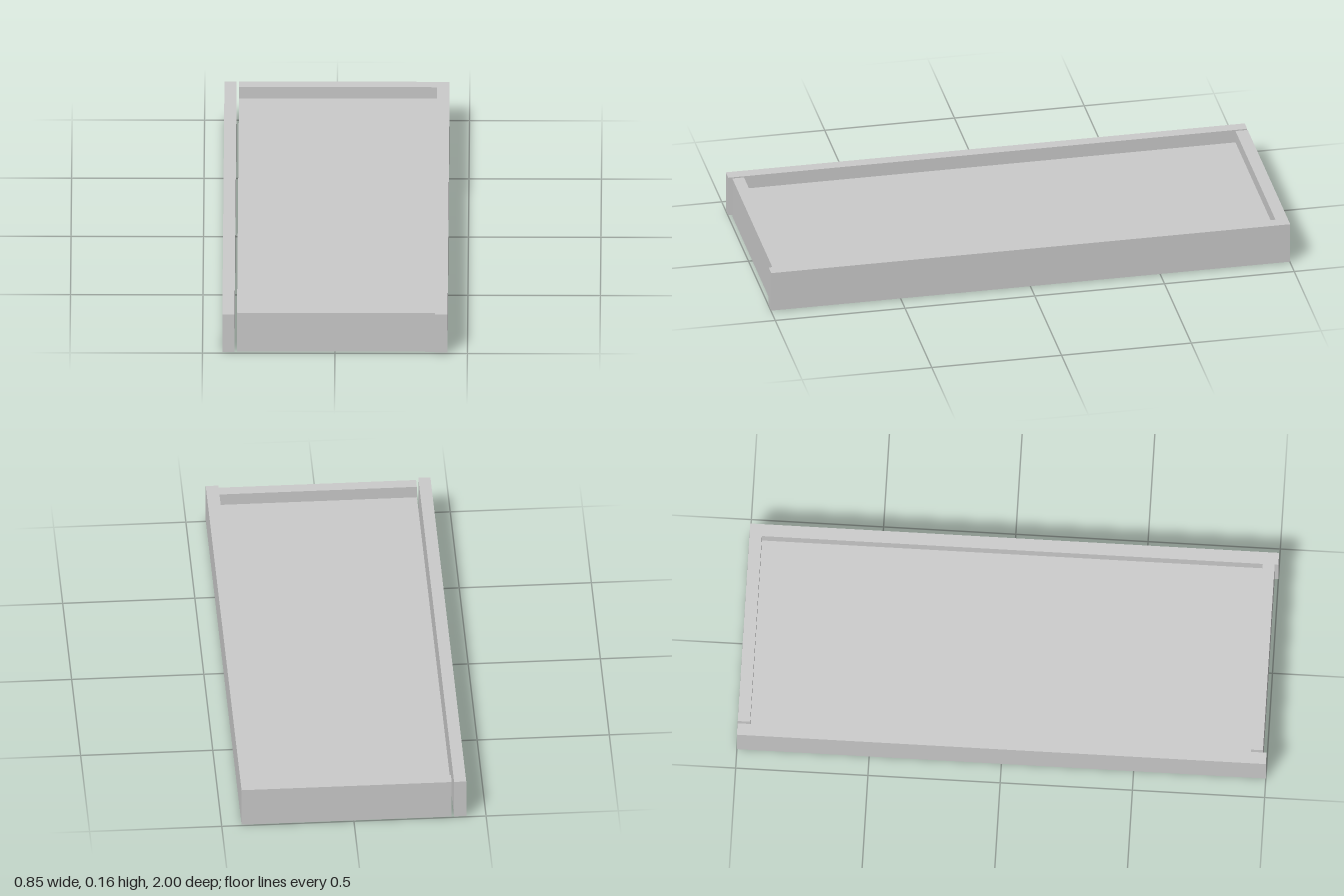
import * as THREE from 'three';

export function createModel() {
  const group = new THREE.Group();
  const material = new THREE.MeshStandardMaterial({ color: 0xcccccc, flatShading: true });

  // Box given by its lower and upper corners
  const addBox = (name, [x0, y0, z0], [x1, y1, z1]) => {
    const mesh = new THREE.Mesh(new THREE.BoxGeometry(x1 - x0, y1 - y0, z1 - z0), material);
    mesh.position.set((x0 + x1) / 2, (y0 + y1) / 2, (z0 + z1) / 2);
    mesh.name = name;
    group.add(mesh);
  };

  const low = 0.004, top = 0.163;   // rail heights
  const inL = -0.37, inR = 0.377;   // span between the side rails

  // Long side rails; the one at -x stands off by a narrow gap
  addBox('rightRail', [-0.425, low, -1], [-0.379, top, 1]);
  addBox('leftRail', [inR, low, -1], [0.425, top, 1]);

  // Short end rails; the front one is slightly set back
  addBox('backRail', [inL, low, -1], [inR, top, -0.953]);
  addBox('frontRail', [inL, low, 0.941], [inR, top, 0.986]);

  // Thick inner panel, reaching just below the rails
  addBox('panel', [inL, 0, -0.953], [inR, 0.115, 0.985]);

  return group;
}
